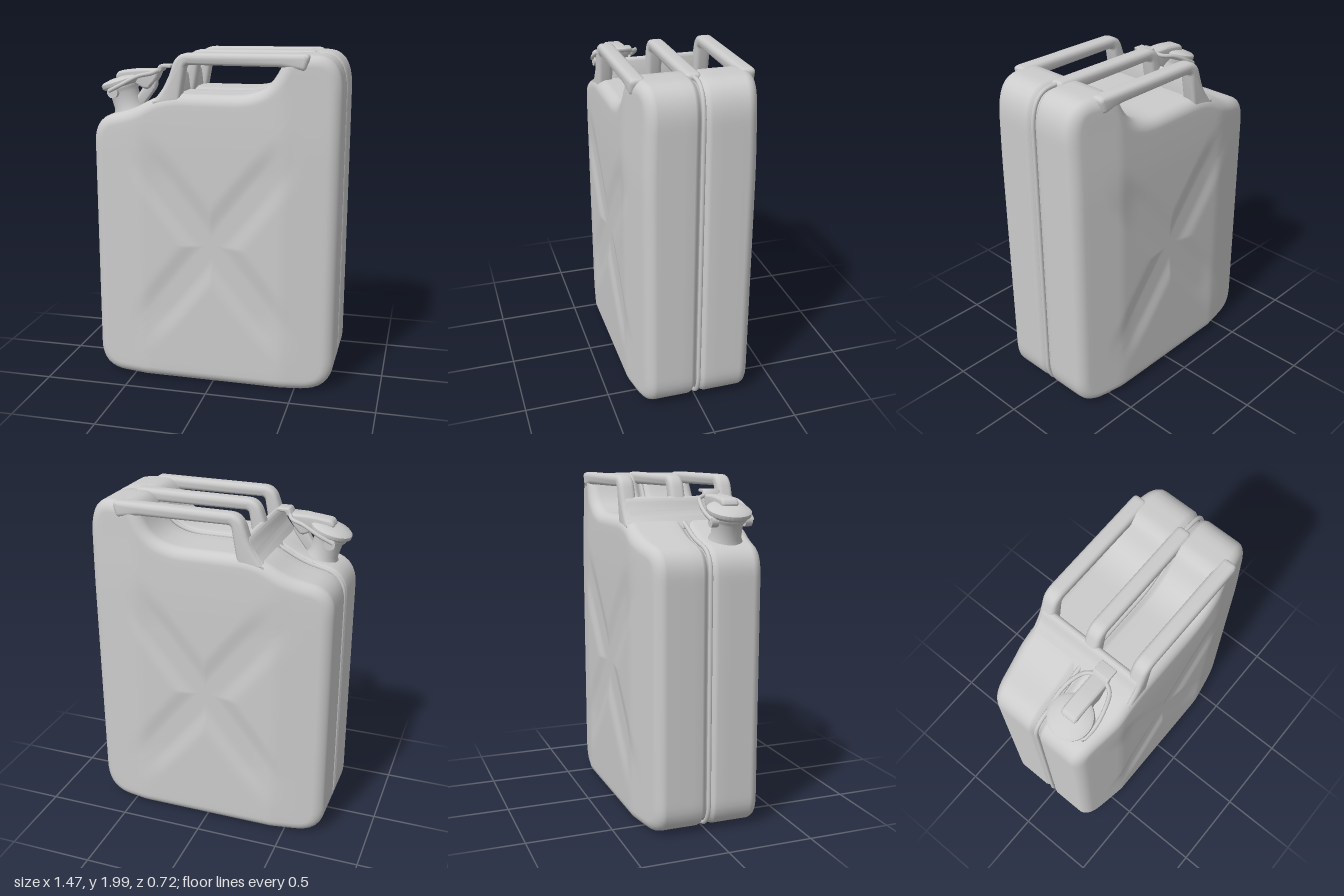
import * as THREE from 'three';
import { toCreasedNormals } from 'three/addons/utils/BufferGeometryUtils.js';

const grey = new THREE.MeshStandardMaterial({ color: 0xcccccc, side: THREE.DoubleSide });
const { smoothstep, clamp } = THREE.MathUtils;

function part(name, geometry) {
  const mesh = new THREE.Mesh(geometry, grey);
  mesh.name = name;
  return mesh;
}

// Closed shape from corners [x, y, corner radius]
function roundedShape(corners) {
  const shape = new THREE.Shape();
  const n = corners.length;
  corners.forEach(([x, y, r], i) => {
    const c = new THREE.Vector2(x, y);
    const toward = (q) => {
      const d = new THREE.Vector2(q[0], q[1]).sub(c);
      return c.clone().add(d.setLength(Math.min(r, d.length() * 0.49)));
    };
    const a = toward(corners[(i + n - 1) % n]);
    const b = toward(corners[(i + 1) % n]);
    if (i === 0) shape.moveTo(a.x, a.y); else shape.lineTo(a.x, a.y);
    shape.quadraticCurveTo(x, y, b.x, b.y);
  });
  shape.closePath();
  return shape;
}

// Soft-edged slab, extruded along z and centred on zc
function slab(corners, zc, width, bevel) {
  const g = new THREE.ExtrudeGeometry(roundedShape(corners), {
    depth: width - 2 * bevel, bevelThickness: bevel, bevelSize: bevel,
    bevelOffset: -bevel, bevelSegments: 4, curveSegments: 6,
  });
  g.translate(0, 0, zc - width / 2 + bevel);
  return toCreasedNormals(g, 0.8);
}

function tube(points, radius, closed = false, segments = 32) {
  const path = new THREE.CatmullRomCurve3(points.map((p) => new THREE.Vector3(...p)), closed, 'centripetal');
  return new THREE.TubeGeometry(path, segments, radius, 8, closed);
}

// Side outline of the can, counter-clockwise from the front
const outline = roundedShape([
  [-0.735, 0.015, 0.17], [0.725, 0.01, 0.19], [0.73, 1.985, 0.22], [0.43, 1.99, 0.05],
  [0.33, 1.81, 0.09], [0.2, 1.76, 0.08], [-0.3, 1.76, 0.12], [-0.48, 1.66, 0.08],
  [-0.73, 1.6, 0.14],
]).getSpacedPoints(180).slice(0, 180);

function inset(d) {
  const n = outline.length;
  return outline.map((p, i) => {
    const t = outline[(i + 1) % n].clone().sub(outline[(i + n - 1) % n]).normalize();
    return [p.x - t.y * d, p.y + t.x * d];
  });
}

// Width narrows to the ends and slightly to the top
const widthAt = (x, y) =>
  1 - 0.15 * clamp((Math.abs(x) - 0.42) / 0.3, 0, 1) - 0.035 * smoothstep(y, 1.4, 2);

// Shallow pressed cross on the large faces
function dent(x, y) {
  const off = Math.abs(Math.abs(x) - Math.abs(y - 0.87) * 0.8);
  const fade = (1 - smoothstep(Math.abs(x), 0.3, 0.55)) * (1 - smoothstep(Math.abs(y - 0.87), 0.4, 0.75));
  return 0.014 * (1 - smoothstep(off, 0.06, 0.2)) * fade;
}

function bodyGeometry() {
  const rings = [];
  const add = (points, z) => rings.push(points.map(([x, y]) => [x, y, z * widthAt(x, y)]));
  // Seam groove, flat side, rounded edge
  [[0.03, 0.008], [0.024, 0.02], [0.008, 0.036], [0, 0.055], [0, 0.13], [0, 0.21]].forEach(([d, z]) => add(inset(d), z));
  const r = 0.065;
  for (let k = 0; k <= 7; k++) {
    const a = (k / 7) * Math.PI / 2;
    add(inset(r * (1 - Math.cos(a))), 0.362 - r + r * Math.sin(a));
  }
  // Face closed by shrinking loops
  const edge = inset(r);
  for (let k = 1; k <= 22; k++) {
    const s = 1 - k / 22;
    rings.push(edge.map(([px, py]) => {
      const x = px * s, y = 0.9 + (py - 0.9) * s;
      return [x, y, 0.362 * widthAt(x, y) - dent(x, y)];
    }));
  }
  const all = [...rings.map((ring) => ring.map(([x, y, z]) => [x, y, -z])).reverse(), ...rings];
  const n = outline.length, index = [];
  for (let k = 0; k < all.length - 1; k++) {
    for (let i = 0; i < n; i++) {
      const j = (i + 1) % n, a = k * n + i, b = k * n + j;
      index.push(a, b, b + n, a, b + n, a + n);
    }
  }
  const g = new THREE.BufferGeometry();
  g.setAttribute('position', new THREE.Float32BufferAttribute(all.flat(2), 3));
  g.setIndex(index);
  g.computeVertexNormals();
  return g;
}

function createSpout() {
  const spout = new THREE.Group();
  spout.name = 'spout';
  const zc = 0.16;

  // Neck and cap share one tilted axis
  const head = new THREE.Group();
  head.name = 'neckAndCap';
  head.position.set(-0.535, 1.61, zc);
  head.rotation.z = 0.3;
  const profile = [[0.11, -0.02], [0.1, 0.03], [0.085, 0.06], [0.085, 0.14], [0.1, 0.16], [0.1, 0.18]];
  head.add(part('neck', new THREE.LatheGeometry(profile.map((p) => new THREE.Vector2(...p)), 32)));
  const capProfile = [[0, 0.175], [0.11, 0.175], [0.125, 0.19], [0.125, 0.21], [0.11, 0.222], [0.06, 0.232], [0, 0.235]];
  const cap = part('cap', toCreasedNormals(
    new THREE.LatheGeometry(capProfile.map((p) => new THREE.Vector2(...p)), 32), 0.8));
  cap.position.x = 0.005;
  head.add(cap);
  spout.add(head);

  // Lever over the cap, ending in a thumb tab
  spout.add(part('lever', slab([
    [-0.62, 1.83, 0.02], [-0.5, 1.8, 0.03], [-0.42, 1.76, 0.03], [-0.36, 1.83, 0.03],
    [-0.34, 1.885, 0.02], [-0.48, 1.885, 0.03], [-0.6, 1.87, 0.02],
  ], zc, 0.1, 0.015)));
  spout.add(part('thumbTab', slab([
    [-0.37, 1.865, 0.01], [-0.335, 1.87, 0.01], [-0.325, 1.893, 0.01], [-0.275, 1.895, 0.005],
    [-0.275, 1.913, 0.005], [-0.345, 1.913, 0.01],
  ], zc, 0.1, 0.006)));
  spout.add(part('hingeBracket', slab([
    [-0.53, 1.66, 0.02], [-0.47, 1.65, 0.02], [-0.37, 1.78, 0.03], [-0.37, 1.84, 0.03], [-0.44, 1.8, 0.03],
  ], zc, 0.06, 0.012)));

  // Wire clasp on both sides
  for (const s of [-1, 1]) {
    spout.add(part('claspArm', tube([
      [-0.63, 1.76, zc + s * 0.12], [-0.55, 1.8, zc + s * 0.13], [-0.45, 1.85, zc + s * 0.115],
      [-0.38, 1.865, zc + s * 0.085], [-0.35, 1.88, zc + s * 0.04],
    ], 0.012)));
    const lug = part('claspLug', new THREE.CylinderGeometry(0.032, 0.032, 0.04, 16));
    lug.rotation.x = Math.PI / 2;
    lug.position.set(-0.61, 1.75, zc + s * 0.1);
    spout.add(lug);
  }
  return spout;
}

export function createModel() {
  const model = new THREE.Group();
  model.name = 'fuelCan';
  model.add(part('body', bodyGeometry()));

  // Welded seam in the groove
  model.add(part('seam', tube(inset(0.012).map(([x, y]) => [x, y, 0]), 0.013, true, 240)));

  // Three carrying handles with sloped posts
  const handle = [
    [-0.36, 1.69, 0.02], [-0.27, 1.8, 0.08], [-0.205, 1.99, 0.07], [0.56, 1.995, 0.04],
    [0.53, 1.9, 0.02], [0.4, 1.922, 0.02], [-0.15, 1.925, 0.02], [-0.19, 1.7, 0.02],
  ];
  [['frontHandle', 0.3], ['middleHandle', 0], ['backHandle', -0.3]].forEach(([name, z]) =>
    model.add(part(name, slab(handle, z, 0.09, 0.025))));

  // Low wall joining the posts
  model.add(part('postWall', slab([
    [-0.37, 1.69, 0.02], [-0.285, 1.79, 0.06], [-0.25, 1.87, 0.03], [-0.215, 1.87, 0.03], [-0.195, 1.7, 0.02],
  ], 0, 0.66, 0.018)));

  model.add(createSpout());
  return model;
}
